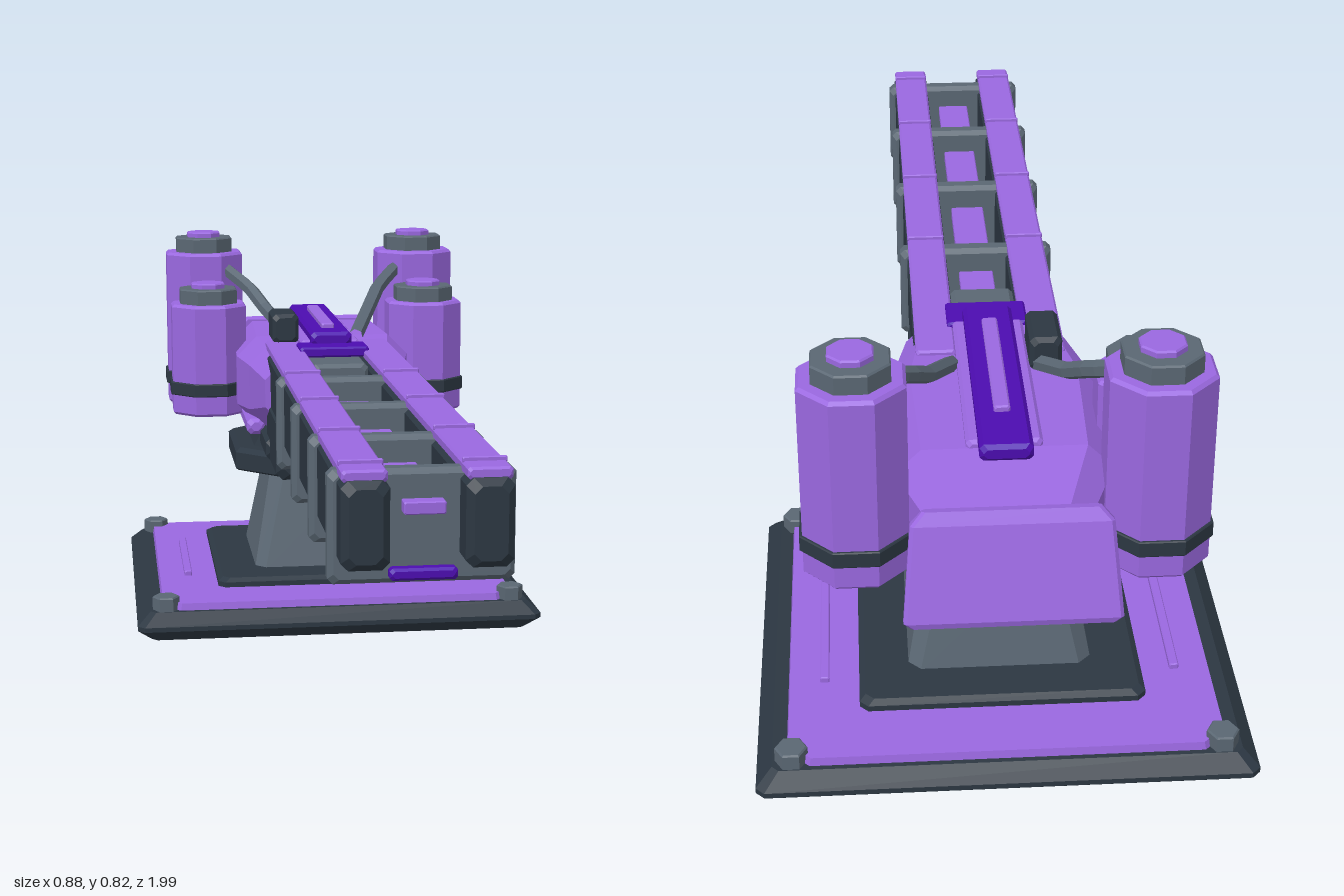
import * as THREE from 'three';

const mat = (name, color) => Object.assign(new THREE.MeshStandardMaterial({ color }), { name });

export function createModel() {
  const root = new THREE.Group();
  root.name = 'railTurret';
  const purple = mat('purple paint', 0x9a68e0);
  const indigo = mat('indigo trim', 0x4c0cb0);
  const steel = mat('grey steel', 0x5a6773);
  const dark = mat('dark metal', 0x2c3742);
  const CZ = -0.53; // pedestal axis

  const add = (name, geo, material, x = 0, y = 0, z = 0) => {
    const m = new THREE.Mesh(geo, material);
    m.name = name;
    m.position.set(x, y, z);
    root.add(m);
    return m;
  };

  // Loft of chamfered rectangles along z: [z, halfWidth, halfHeight, chamfer, centreY]
  function loft(sections) {
    const rings = sections.map(([z, w, h, c, cy = 0]) => [
      [w, c - h], [w, h - c], [w - c, h], [c - w, h],
      [-w, h - c], [-w, c - h], [c - w, -h], [w - c, -h],
    ].map(([x, y]) => [x, y + cy, z]));
    const pos = [];
    const tri = (...p) => p.forEach((v) => pos.push(...v));
    for (let i = 0; i < rings.length - 1; i++) {
      for (let j = 0; j < 8; j++) {
        const k = (j + 1) % 8, A = rings[i], B = rings[i + 1];
        tri(A[j], A[k], B[k]);
        tri(A[j], B[k], B[j]);
      }
    }
    const first = rings[0], last = rings[rings.length - 1];
    for (let j = 1; j < 7; j++) {
      tri(last[0], last[j], last[j + 1]);
      tri(first[0], first[j + 1], first[j]);
    }
    const g = new THREE.BufferGeometry();
    g.setAttribute('position', new THREE.Float32BufferAttribute(pos, 3));
    g.computeVertexNormals();
    return g;
  }
  // Same loft standing upright: [y, halfX, halfZ, chamfer]
  const tower = (sections) => loft(sections).rotateX(-Math.PI / 2);

  // Box given by its limits, with every edge chamfered
  function block(name, material, x0, x1, y0, y1, z0, z1, c = 0.006) {
    const w = (x1 - x0) / 2, h = (y1 - y0) / 2, d = (z1 - z0) / 2;
    const e = Math.min(c, w * 0.45, h * 0.45, d * 0.45);
    const g = loft([[-d, w - e, h - e, e], [-d + e, w, h, e], [d - e, w, h, e], [d, w - e, h - e, e]]);
    return add(name, g, material, (x0 + x1) / 2, (y0 + y1) / 2, (z0 + z1) / 2);
  }
  // Mirrored pair of blocks
  const pair = (name, m, x0, x1, ...rest) => {
    block(name + 'Left', m, x0, x1, ...rest);
    block(name + 'Right', m, -x1, -x0, ...rest);
  };
  // Flat-sided drum, apothem r, flats facing the axes
  function drum(name, material, x, z, r, y0, y1, bevel, sides = 8) {
    const R = r / Math.cos(Math.PI / sides);
    const profile = [[0, y0], [R - bevel, y0], [R, y0 + bevel], [R, y1 - bevel], [R - bevel, y1], [0, y1]];
    const g = new THREE.LatheGeometry(profile.map((p) => new THREE.Vector2(...p)), sides, Math.PI / sides).toNonIndexed();
    g.computeVertexNormals();
    add(name, g, material, x, 0, z);
  }

  // Base
  add('basePlate', tower([[0, 0.408, 0.385, 0.012], [0.026, 0.438, 0.414, 0.015],
    [0.036, 0.438, 0.414, 0.015], [0.062, 0.41, 0.387, 0.012]]), dark, 0, 0, CZ);
  add('baseDeck', tower([[0.06, 0.385, 0.378, 0.04], [0.077, 0.382, 0.375, 0.04]]), purple, 0, 0, CZ);
  add('pedestalFoot', tower([[0.077, 0.256, 0.256, 0.015], [0.088, 0.256, 0.256, 0.015],
    [0.096, 0.245, 0.245, 0.015]]), dark, 0, 0, CZ);
  for (const sx of [-1, 1]) {
    for (const sz of [-1, 1]) drum('baseBolt', steel, sx * 0.376, CZ + sz * 0.36, 0.025, 0.055, 0.092, 0.003, 6);
  }
  pair('deckStrip', purple, 0.31, 0.327, 0.07, 0.088, -0.7, -0.385, 0.002);

  // Pedestal and turntable
  add('pedestal', tower([[0.09, 0.167, 0.167, 0.022], [0.32, 0.124, 0.118, 0.03]]), steel, 0, 0, CZ);
  add('turntable', tower([[0.313, 0.2, 0.2, 0.08], [0.318, 0.206, 0.206, 0.08],
    [0.355, 0.206, 0.206, 0.08], [0.364, 0.195, 0.195, 0.08]]), dark, 0, 0, CZ);
  add('turntableNeck', tower([[0.36, 0.165, 0.15, 0.05], [0.41, 0.14, 0.15, 0.04]]), dark, 0, 0, CZ);
  block('cradle', dark, -0.15, 0.15, 0.362, 0.415, -0.895, -0.25, 0.015);

  // Underslung mount at the root of the rails
  block('mountBlock', dark, -0.135, 0.135, 0.4, 0.46, -0.34, -0.1, 0.01);
  pair('mountJaw', dark, 0.055, 0.142, 0.353, 0.49, -0.34, -0.095, 0.014);

  // Receiver body
  add('receiver', loft([
    [-0.92, 0.12, 0.07, 0.03, 0.5], [-0.76, 0.185, 0.098, 0.045, 0.505], [-0.5, 0.195, 0.1, 0.045, 0.503],
    [-0.4, 0.175, 0.09, 0.04, 0.503], [-0.27, 0.15, 0.055, 0.025, 0.51],
  ]), purple);
  pair('receiverSkid', purple, 0.14, 0.18, 0.395, 0.43, -0.8, -0.4, 0.01);
  block('breech', steel, -0.06, 0.06, 0.44, 0.59, -0.33, -0.15, 0.008);
  block('breechBridge', indigo, -0.075, 0.075, 0.59, 0.612, -0.335, -0.25, 0.004);
  block('spineBase', purple, -0.065, 0.065, 0.59, 0.616, -0.76, -0.33, 0.006);
  block('spine', indigo, -0.045, 0.045, 0.605, 0.636, -0.81, -0.31, 0.008);
  block('spineRidge', purple, -0.014, 0.014, 0.63, 0.647, -0.7, -0.38, 0.003);
  block('sightBox', dark, -0.122, -0.064, 0.6, 0.666, -0.505, -0.39, 0.008);

  // Slanted rear shield
  const shield = add('rearShield', tower([[-0.098, 0.168, 0.01, 0.006], [-0.088, 0.179, 0.016, 0.006],
    [0.075, 0.165, 0.016, 0.006], [0.098, 0.145, 0.01, 0.006]]), purple, 0, 0.495, -0.949);
  shield.rotation.x = 0.29;

  // Twin rails with painted tops
  pair('rail', dark, 0.06, 0.138, 0.444, 0.588, -0.4, 1, 0.012);
  pair('railTop', purple, 0.063, 0.136, 0.584, 0.604, -0.425, 0.985, 0.004);
  block('centreStrip', purple, -0.034, 0.034, 0.525, 0.546, -0.16, 0.962, 0.002);
  block('lowerStrip', indigo, -0.055, 0.055, 0.416, 0.436, -0.12, 0.955, 0.005);
  for (const z of [0.027, 0.333, 0.638, 0.915]) {
    block('railRib', steel, -0.152, 0.152, 0.407, 0.594, z - 0.02, z + 0.02, 0.012);
    pair('ribTab', purple, 0.063, 0.136, 0.6, 0.611, z + 0.012, z + 0.02, 0.002);
  }

  // Canisters and hoses on both sides
  for (const s of [-1, 1]) {
    for (const [z, top] of [[-0.793, 0.77], [-0.625, 0.667]]) {
      const x = s * 0.252, r = z < -0.7 ? 0.089 : 0.085;
      drum('canister', purple, x, z, r, 0.411, top, 0.006);
      drum('canisterBand', dark, x, z, r + 0.005, 0.458, 0.488, 0.002);
      drum('canisterCap', steel, x, z, 0.065, top - 0.005, top + 0.034, 0.003);
      drum('canisterButton', purple, x, z, 0.038, top + 0.03, top + 0.046, 0.003);
    }
    const path = new THREE.CurvePath();
    const pts = [[0.205, 0.733, -0.735], [0.152, 0.694, -0.665], [0.122, 0.655, -0.6], [0.075, 0.605, -0.475]]
      .map(([x, y, z]) => new THREE.Vector3(s * x, y, z));
    for (let i = 0; i < 3; i++) path.add(new THREE.LineCurve3(pts[i], pts[i + 1]));
    const hose = new THREE.TubeGeometry(path, 9, 0.016, 6, false).toNonIndexed();
    hose.computeVertexNormals();
    add('hose', hose, steel);
    const end = new THREE.IcosahedronGeometry(0.017, 0);
    add('hoseEnd', end, steel, pts[0].x, pts[0].y, pts[0].z);
  }
  return root;
}
